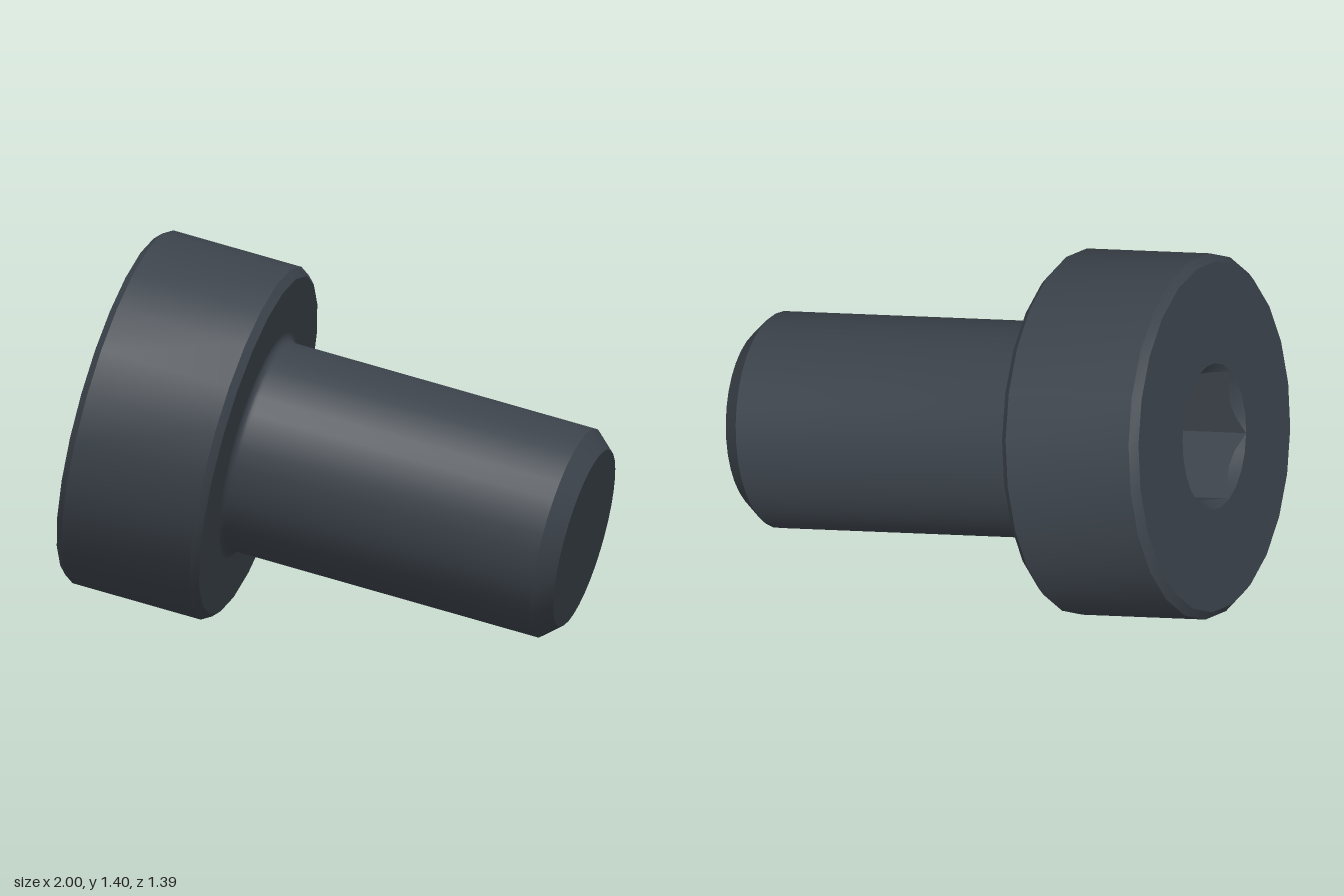
import * as THREE from 'three';
import { toCreasedNormals } from 'three/addons/utils/BufferGeometryUtils.js';

const v2 = (r, t) => new THREE.Vector2(r, t);
const HEAD_SIDES = 24, SHANK_SIDES = 36;
const HEAD_R = 0.66, SHANK_R = 0.391, SOCKET_R = 0.265;
const HEAD_OUT = -0.85, HEAD_IN = -0.306, TIP = 0.94; // positions along the axis
const BEVEL = 0.027, FILLET = 0.03, SOCKET_DEPTH = 0.42;

export function createModel() {
  const model = new THREE.Group();
  model.name = 'socketHeadBolt';
  const steel = new THREE.MeshStandardMaterial({ color: 0x3b424a });
  steel.name = 'dark steel';

  const addPart = (name, geometry) => {
    const mesh = new THREE.Mesh(toCreasedNormals(geometry, 0.5), steel);
    mesh.name = name;
    model.add(mesh);
  };

  // Head: flat outer face around the socket, bevelled rim, inner flange
  addPart('head', new THREE.LatheGeometry([
    v2(SOCKET_R, HEAD_OUT),
    v2(HEAD_R - BEVEL, HEAD_OUT),
    v2(HEAD_R, HEAD_OUT + BEVEL),
    v2(HEAD_R, HEAD_IN - BEVEL),
    v2(HEAD_R - BEVEL, HEAD_IN),
    v2(SHANK_R, HEAD_IN),
  ], HEAD_SIDES));

  // Shank: fillet at the flange, straight body, chamfered tip
  const shank = [];
  for (let i = 0; i <= 5; i++) {
    const a = (i / 5) * Math.PI / 2;
    shank.push(v2(SHANK_R + FILLET * (1 - Math.sin(a)), HEAD_IN + FILLET * (1 - Math.cos(a))));
  }
  shank.push(v2(SHANK_R, TIP - 0.068), v2(0.331, TIP), v2(0, TIP));
  addPart('shank', new THREE.LatheGeometry(shank, SHANK_SIDES));

  // Hex socket: a round lathe squeezed to six flats, with a conical lead-in
  const socket = new THREE.LatheGeometry([
    v2(0, HEAD_OUT + SOCKET_DEPTH),
    v2(SOCKET_R, HEAD_OUT + SOCKET_DEPTH),
    v2(SOCKET_R, HEAD_OUT),
    v2(SOCKET_R, HEAD_OUT),
  ], HEAD_SIDES);
  const p = socket.attributes.position;
  for (let i = 0; i < p.count; i++) {
    const ring = i % 4;
    if (ring !== 1 && ring !== 2) continue;
    const step = Math.floor(i / 4) % 4; // four steps to each flat
    const scale = Math.cos(Math.PI / 6) / Math.cos(step * Math.PI / 12 - Math.PI / 6);
    p.setX(i, p.getX(i) * scale);
    p.setZ(i, p.getZ(i) * scale);
    if (ring === 2) p.setY(i, HEAD_OUT + SOCKET_R * (1 - scale));
  }
  addPart('hexSocket', socket);

  // Tilt the bolt axis to its resting pose
  const axis = new THREE.Vector3(0.954, -0.222, 0.2).normalize();
  const side = new THREE.Vector3(-axis.z, 0, axis.x).normalize();
  const up = new THREE.Vector3().crossVectors(side, axis);
  model.quaternion.setFromRotationMatrix(new THREE.Matrix4().makeBasis(side, axis, up));
  model.position.set(0, 0.577, 0.121);

  const root = new THREE.Group();
  root.name = 'bolt';
  root.add(model);
  return root;
}
